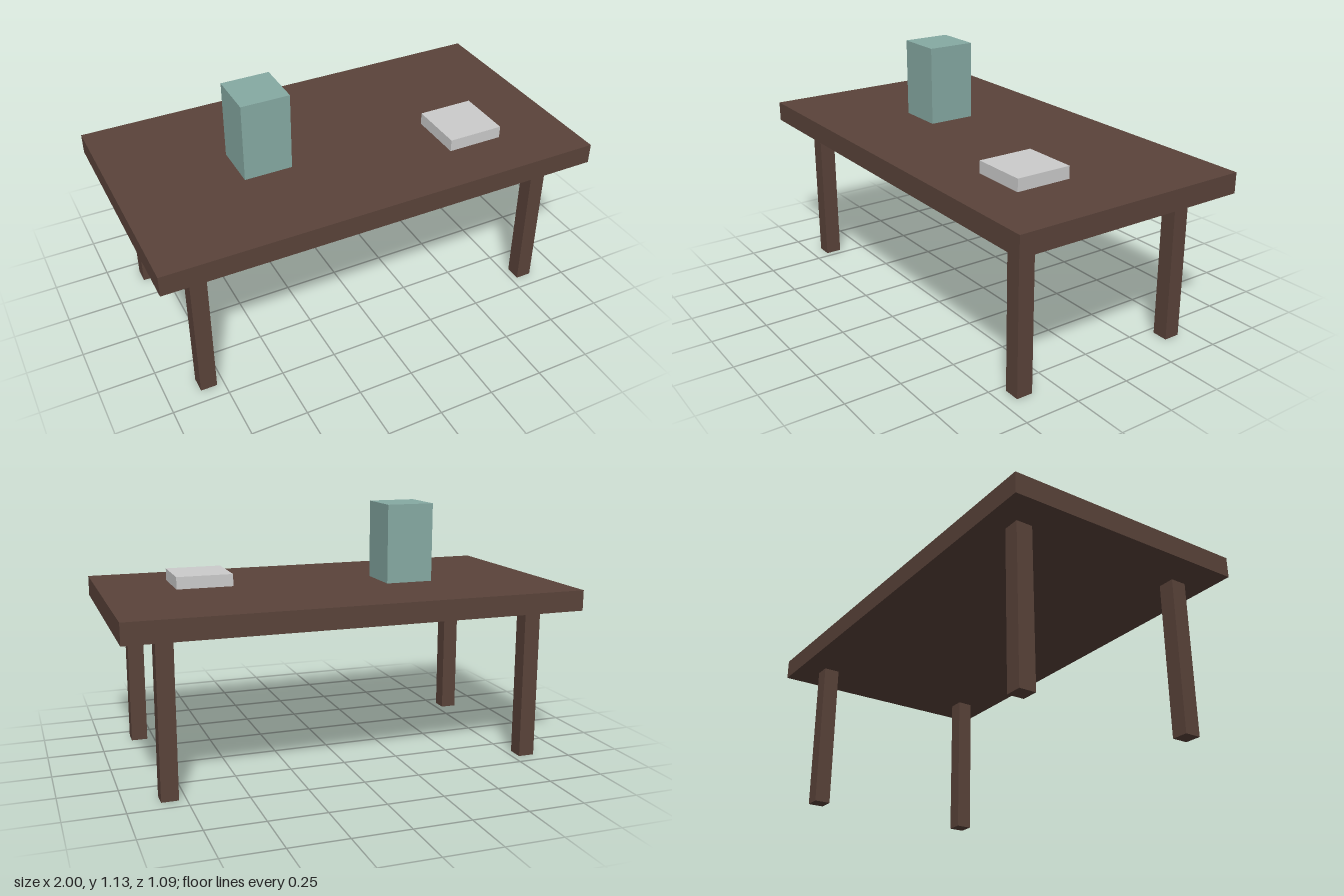
import * as THREE from 'three';

const wood = new THREE.MeshStandardMaterial({ color: 0x5a433a });
const teal = new THREE.MeshStandardMaterial({ color: 0x86aaa3 });
const grey = new THREE.MeshStandardMaterial({ color: 0xcccccc });

// Box that stands on the height y
function block(name, material, [w, h, d], [x, y, z]) {
  const mesh = new THREE.Mesh(new THREE.BoxGeometry(w, h, d), material);
  mesh.name = name;
  mesh.position.set(x, y + h / 2, z);
  return mesh;
}

export function createModel() {
  const model = new THREE.Group();
  model.name = 'table';

  const legHeight = 0.684;
  const topThickness = 0.091;
  const surface = legHeight + topThickness;

  model.add(block('tableTop', wood, [2, topThickness, 1.091], [0, legHeight, 0]));

  // Four square legs, set in from the corners
  for (const [sideX, x] of [['Left', 0.818], ['Right', -0.818]]) {
    for (const [sideZ, z] of [['front', 0.4], ['back', -0.4]]) {
      model.add(block(`${sideZ}${sideX}Leg`, wood, [0.073, legHeight, 0.073], [x, 0, z]));
    }
  }

  // Objects on the table
  model.add(block('tallBox', teal, [0.218, 0.355, 0.218], [-0.365, surface, 0]));
  model.add(block('flatBox', grey, [0.255, 0.055, 0.255], [0.545, surface, 0.182]));

  return model;
}
